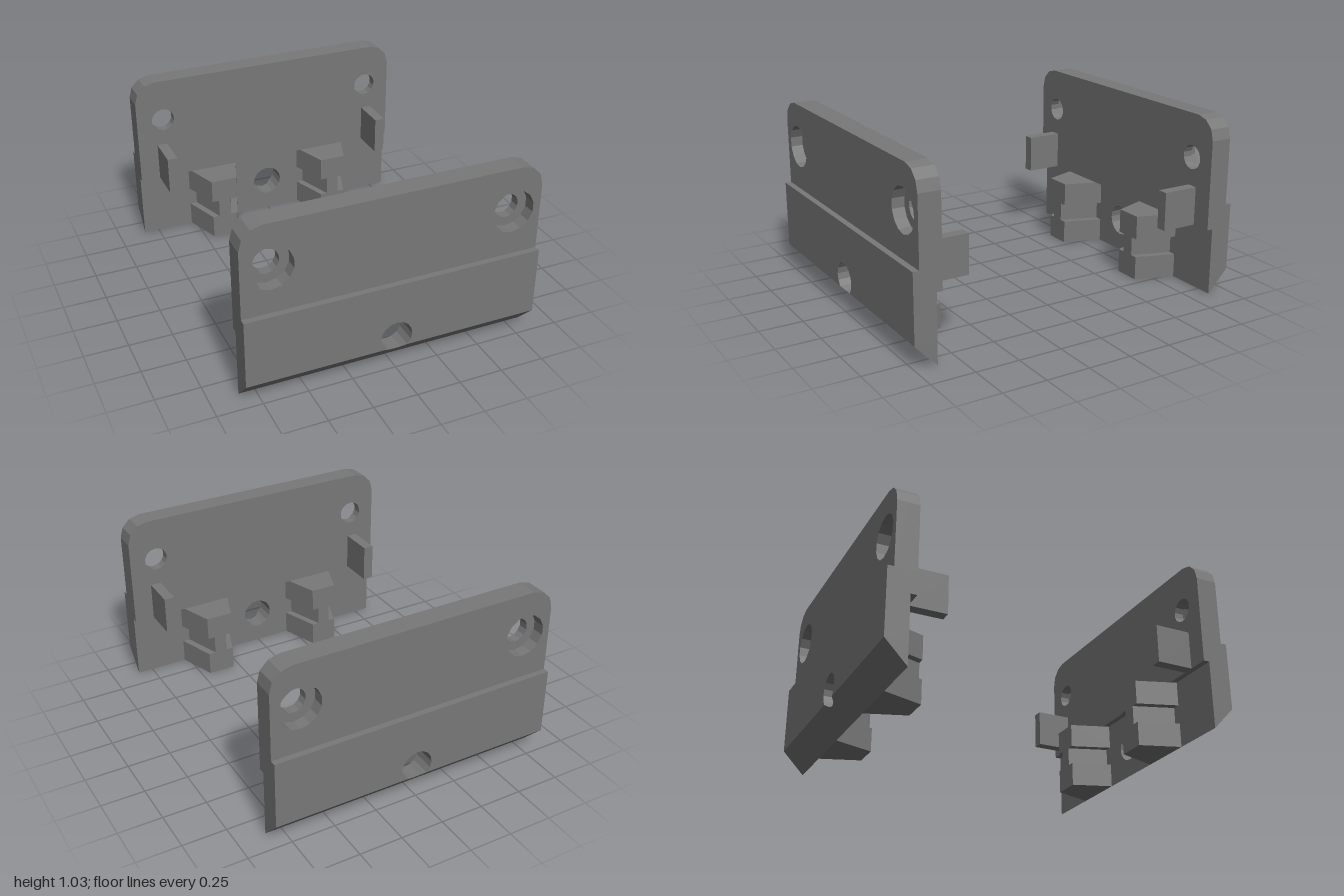
import * as THREE from 'three';

const W = 0.84, STEP = 0.52, TOP = 1.03, BEVEL = 0.13, IN = 0.84, RECESS = 0.875;

// points on a regular arc, angles in degrees
function arc(cx, cy, r, from, to, n) {
  return Array.from({ length: n + 1 }, (_, i) => {
    const a = THREE.MathUtils.degToRad(from + ((to - from) * i) / n);
    return new THREE.Vector2(cx + r * Math.cos(a), cy + r * Math.sin(a));
  });
}
const P = (x, y) => new THREE.Vector2(x, y);

// flat outline with optional holes, extruded from z0 to z1
function slab(points, z0, z1, holes = []) {
  const shape = new THREE.Shape(points);
  shape.holes = holes.map((h) => new THREE.Path(h));
  const g = new THREE.ExtrudeGeometry(shape, { depth: z1 - z0, bevelEnabled: false });
  return g.translate(0, 0, z0);
}

function box(x0, x1, y0, y1, z0, z1) {
  return new THREE.BoxGeometry(x1 - x0, y1 - y0, z1 - z0)
    .translate((x0 + x1) / 2, (y0 + y1) / 2, (z0 + z1) / 2);
}

function createJaw(material) {
  const jaw = new THREE.Group();
  const add = (name, geometry) => {
    const m = new THREE.Mesh(geometry, material);
    m.name = name;
    jaw.add(m);
  };

  // upper plate with rounded corners and counterbored screw holes
  const c = 0.125;
  const upper = [P(-W, STEP), P(W, STEP),
    ...arc(W - c, TOP - c, c, 0, 90, 3), ...arc(c - W, TOP - c, c, 90, 180, 3)];
  const holes = (r) => [-1, 1].map((s) => arc(s * 0.677, 0.777, r, 90, -270, 14).slice(0, -1));
  add('upperPlateInner', slab(upper, IN, 0.895, holes(0.07)));
  add('upperPlateOuter', slab(upper, 0.895, 0.965, holes(0.123)));

  // thick lower plate, its centre hole crossing the bevel line
  const r = 0.092, cy = BEVEL + r * Math.SQRT1_2;
  add('lowerPlate', slab([P(-W, BEVEL), ...arc(0, cy, r, 225, -45, 12),
    P(W, BEVEL), P(W, STEP), P(-W, STEP)], RECESS, 1));

  // bevelled bottom edge: the outer face slopes back to the inner one
  const bevel = slab([P(-W, 0), P(W, 0), P(W, BEVEL),
    ...arc(0, cy, r, -45, -135, 4), P(-W, BEVEL)], RECESS, 1);
  const pos = bevel.attributes.position;
  for (let i = 0; i < pos.count; i++) {
    if (pos.getZ(i) > 0.95) pos.setZ(i, RECESS + (1 - RECESS) * pos.getY(i) / BEVEL);
  }
  bevel.computeVertexNormals();
  add('bevelledEdge', bevel);

  // shallow ledge on the inner face
  add('innerLedge', box(-W, W, 0.39, STEP, IN, RECESS));

  for (const s of [-1, 1]) {
    const side = s > 0 ? 'left' : 'right';

    // tapered block with a waist slot in both flanks
    [[0, 0.14, 0], [0.14, 0.25, 0.042], [0.25, 0.39, 0]].forEach(([y0, y1, inset], i) => {
      const x = 0.37 * s, a = 0.158 - inset, b = 0.08 - inset;
      const g = slab([P(x - a, -RECESS), P(x + a, -RECESS), P(x + b, -0.648), P(x - b, -0.648)], y0, y1);
      add(side + ['BlockBase', 'BlockWaist', 'BlockCap'][i], g.rotateX(-Math.PI / 2));
    });

    // locating tab
    const t = 0.692 * s;
    add(side + 'Tab', box(t - 0.031, t + 0.031, 0.39, 0.613, 0.627, IN));
  }
  return jaw;
}

export function createModel() {
  const grey = new THREE.MeshStandardMaterial({ color: 0x787878 });
  grey.name = 'grey';
  const model = new THREE.Group();
  model.name = 'clampJaws';
  const front = createJaw(grey);
  front.name = 'frontJaw';
  const back = createJaw(grey);
  back.name = 'backJaw';
  back.rotation.y = Math.PI;
  model.add(front, back);
  return model;
}
